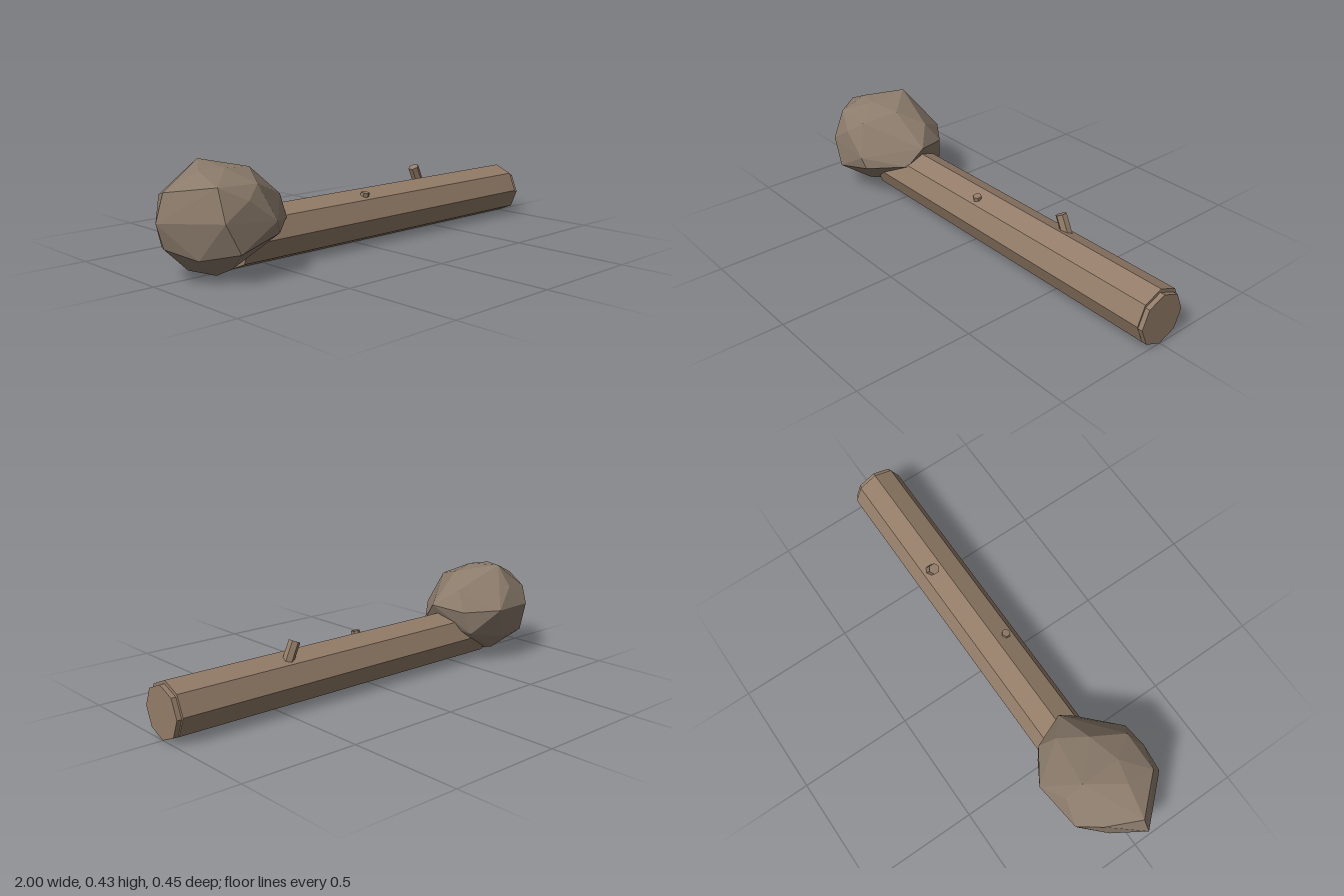
import * as THREE from 'three';
import { ConvexGeometry } from 'three/addons/geometries/ConvexGeometry.js';

const mat = (color) => new THREE.MeshStandardMaterial({ color, flatShading: true });
const bark = mat(0x937c68);
const stone = mat(0x8b7b6b);

// Faceted rod running between two points
function rod(name, from, to, r0, r1, sides, material, turn = 0) {
  const a = new THREE.Vector3(...from);
  const b = new THREE.Vector3(...to);
  const dir = b.clone().sub(a);
  const geo = new THREE.CylinderGeometry(r1, r0, dir.length(), sides);
  geo.rotateY(turn);
  const mesh = new THREE.Mesh(geo, material);
  mesh.quaternion.setFromUnitVectors(new THREE.Vector3(0, 1, 0), dir.normalize());
  mesh.position.copy(a).add(b).multiplyScalar(0.5);
  mesh.name = name;
  return mesh;
}

export function createModel() {
  const group = new THREE.Group();
  group.name = 'logWithBoulder';

  // Eight-sided trunk lying along x, with a slightly smaller cut end
  group.add(rod('trunk', [-0.65, 0.116, -0.002], [0.98, 0.116, -0.002], 0.115, 0.115, 8, bark));
  group.add(rod('cutEnd', [0.97, 0.109, 0.001], [1, 0.109, 0.001], 0.108, 0.108, 8, bark));

  // Broken branch stubs
  group.add(rod('tallBranchStub', [0.465, 0.18, -0.047], [0.42, 0.277, -0.046], 0.024, 0.024, 6, bark));
  group.add(rod('shortBranchStub', [0.015, 0.17, 0.042], [0.017, 0.224, 0.051], 0.02, 0.019, 6, bark));

  // Angular boulder resting over the far end of the trunk
  const corners = [
    // crown
    [-0.72, 0.43, -0.11], [-0.82, 0.41, 0.04], [-0.72, 0.413, 0.065], [-0.58, 0.4, 0.03],
    // upper ring
    [-0.96, 0.345, 0.02], [-0.825, 0.365, 0.165], [-0.65, 0.36, 0.17], [-0.5, 0.34, -0.07],
    [-0.72, 0.34, -0.18], [-0.89, 0.31, -0.12],
    // middle ring
    [-1, 0.24, 0.03], [-0.83, 0.24, 0.215], [-0.72, 0.31, 0.21], [-0.6, 0.22, 0.222],
    [-0.415, 0.27, 0.01], [-0.44, 0.19, 0.08], [-0.47, 0.25, -0.13],
    [-0.61, 0.255, -0.225], [-0.82, 0.25, -0.2],
    // lower ring
    [-0.97, 0.14, 0.03], [-0.77, 0.12, 0.225], [-0.58, 0.17, 0.21], [-0.5, 0.15, -0.15],
    [-0.68, 0.11, -0.18], [-0.82, 0.12, -0.17], [-0.91, 0.12, -0.08], [-0.89, 0.1, 0.13],
    // underside
    [-0.75, 0.003, 0.04], [-0.65, 0.02, 0], [-0.83, 0.025, -0.03],
    [-0.72, 0.035, 0.1], [-0.68, 0.05, -0.12], [-0.55, 0.1, 0.03],
  ].map((p) => new THREE.Vector3(...p));
  const boulder = new THREE.Mesh(new ConvexGeometry(corners), stone);
  boulder.name = 'boulder';
  group.add(boulder);

  return group;
}
